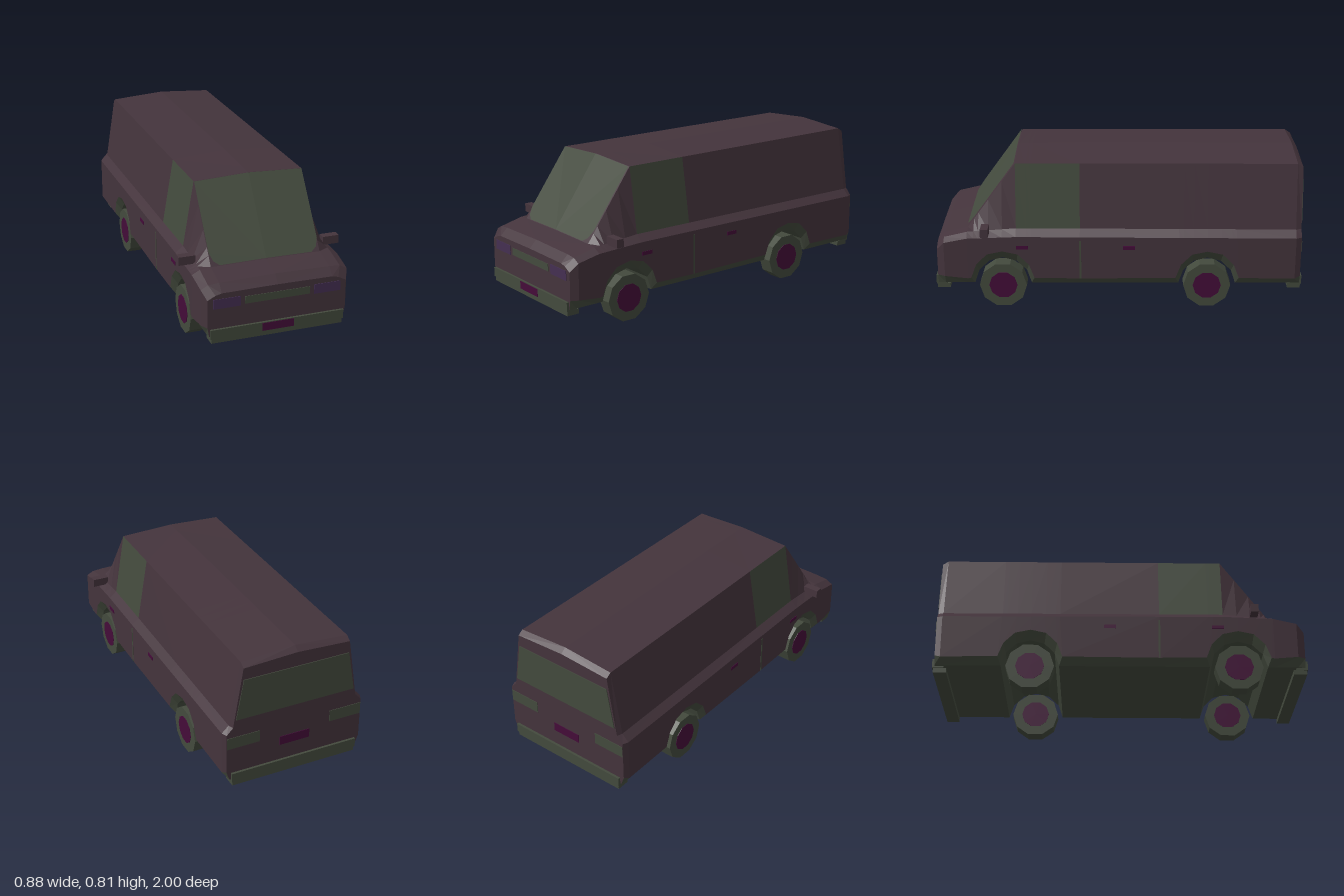
import * as THREE from 'three';

const mat = (name, color) => {
  const m = new THREE.MeshStandardMaterial({ color });
  m.name = name;
  return m;
};

// Piecewise linear lookup in [z, value] pairs
function at(table, z) {
  for (let i = 1; i < table.length; i++) {
    const [z0, v0] = table[i - 1], [z1, v1] = table[i];
    if (z <= z1) return v0 + (v1 - v0) * Math.max(0, (z - z0) / (z1 - z0));
  }
  return table[table.length - 1][1];
}

function flat(geo) {
  const g = geo.index ? geo.toNonIndexed() : geo;
  g.computeVertexNormals();
  return g;
}

function fromTriangles(points) {
  const g = new THREE.BufferGeometry();
  g.setAttribute('position', new THREE.Float32BufferAttribute(points.flat(), 3));
  g.computeVertexNormals();
  return g;
}

// Outlines of the body along its length
const EDGE_Y = [[-0.985, 0.775], [-0.96, 0.795], [0.555, 0.795], [0.82, 0.43], [0.945, 0.4], [0.985, 0.36]];
const CREST_Y = [[-0.985, 0.79], [-0.96, 0.815], [0.21, 0.815], [0.555, 0.808], [0.82, 0.433], [0.945, 0.405], [0.985, 0.363]];
const SHOULDER_Y = [[-0.985, 0.442], [0.555, 0.446], [0.82, 0.425], [0.945, 0.395], [0.985, 0.352]];
const SHOULDER_X = [[-0.985, 0.35], [-0.96, 0.36], [0.945, 0.355], [0.985, 0.33]];
const BELT_Y = [[-0.985, 0.405], [0.555, 0.412], [0.82, 0.402], [0.945, 0.375], [0.985, 0.33]];
const SIDE_X = [[-0.985, 0.385], [-0.955, 0.398], [0.92, 0.398], [0.945, 0.394], [0.985, 0.373]];
const FRONT_AXLE = 0.63, REAR_AXLE = -0.48;

// Stations: z, opening y, and the trim's own z and y
function stations() {
  const plain = z => ({ z, y: 0.13, tz: z, ty: z > 0.9 || z < -0.97 ? 0.18 : 0.168 });
  const arch = c => [
    [-0.155, 0.13, -0.172, 0.172], [-0.13, 0.205, -0.143, 0.25], [-0.075, 0.26, -0.083, 0.31], [0, 0.28, 0, 0.328],
    [0.075, 0.26, 0.083, 0.31], [0.13, 0.205, 0.143, 0.25], [0.155, 0.13, 0.172, 0.172],
  ].map(([dz, y, tz, ty]) => ({ z: c + dz, y, tz: c + tz, ty }));
  return [plain(-0.985), plain(-0.955), ...arch(REAR_AXLE), plain(0.21),
    ...arch(FRONT_AXLE), plain(0.82), plain(0.945), plain(0.985)];
}

// Half cross-section from bottom centre up to roof crest
function section({ z, y, tz, ty }) {
  const side = at(SIDE_X, z);
  return [
    [0, y, z], [Math.min(0.367, side - 0.01), y, z], [side, ty, tz], [side, at(BELT_Y, z), z],
    [at(SHOULDER_X, z), at(SHOULDER_Y, z), z], [0.297, at(EDGE_Y, z), z], [0, at(CREST_Y, z), z],
  ];
}

function bodyMeshes(paint, trim) {
  const paintTris = [], trimTris = [], glassTris = [];
  const tri = (list, a, b, c) => {
    list.push(a, b, c);
    const m = p => [-p[0], p[1], p[2]];
    list.push(m(a), m(c), m(b));
  };
  const st = stations(), rings = st.map(section);
  for (let i = 0; i < rings.length - 1; i++) {
    const sideWindow = st[i].z > 0.2 && st[i + 1].z < 0.56;
    for (let r = 0; r < 6; r++) {
      const list = r < 2 ? trimTris : r === 4 && sideWindow ? glassTris : paintTris;
      const a = rings[i][r], b = rings[i + 1][r], c = rings[i + 1][r + 1], d = rings[i][r + 1];
      tri(list, a, d, c);
      tri(list, a, c, b);
    }
  }
  // Closed nose and tail
  const tail = rings[0], nose = rings[rings.length - 1];
  for (let r = 1; r < 6; r++) {
    tri(paintTris, nose[0], nose[r], nose[r + 1]);
    tri(paintTris, tail[0], tail[r + 1], tail[r]);
  }
  return [['bodyShell', paintTris, paint], ['sillsAndUnderside', trimTris, trim], ['sideWindows', glassTris, trim]]
    .map(([name, tris, m]) => {
      const mesh = new THREE.Mesh(fromTriangles(tris), m);
      mesh.name = name;
      return mesh;
    });
}

// Windscreen with clipped lower corners, lying just above the sloping front
function windscreenGeometry() {
  const p = (x, t) => {
    const z = 0.82 - 0.265 * t, k = Math.abs(x) / 0.297;
    const y = at(CREST_Y, z) * (1 - k) + at(EDGE_Y, z) * k;
    return [x, y + 0.003, z + 0.005];
  };
  const outline = [[0.25, 0.005], [0.28, 0.06], [0.296, 0.16], [0.296, 0.995], [0, 0.995]];
  const tris = [], base = p(0, 0.005);
  for (let i = 0; i < outline.length - 1; i++) {
    const [x0, t0] = outline[i], [x1, t1] = outline[i + 1];
    tris.push(base, p(x0, t0), p(x1, t1), base, p(-x1, t1), p(-x0, t0));
  }
  return fromTriangles(tris);
}

export function createModel() {
  const van = new THREE.Group();
  van.name = 'van';
  const paint = mat('darkPlumPaint', 0x44343c);
  const trim = mat('smokedGreenTrim', 0x434a3d);
  const lamp = mat('violetLamp', 0x442f52);
  const accent = mat('magentaAccent', 0x440c39);

  const add = (name, geo, m, x = 0, y = 0, z = 0) => {
    const mesh = new THREE.Mesh(geo, m);
    mesh.name = name;
    mesh.position.set(x, y, z);
    van.add(mesh);
    return mesh;
  };
  const box = (name, m, w, h, d, x, y, z) => add(name, new THREE.BoxGeometry(w, h, d), m, x, y, z);

  van.add(...bodyMeshes(paint, trim));
  add('windscreen', windscreenGeometry(), trim);

  // Rear window
  const pane = new THREE.Shape([[-0.335, 0.485], [0.335, 0.485], [0.295, 0.71], [-0.295, 0.71]]
    .map(([x, y]) => new THREE.Vector2(x, y)));
  add('rearWindow', new THREE.ExtrudeGeometry(pane, { depth: 0.006, bevelEnabled: false }), trim, 0, 0, -0.989);

  // Front and rear bumpers, each with a lower lip
  for (const [end, s] of [['front', 1], ['rear', -1]]) {
    box(end + 'Bumper', trim, 0.72, 0.05, 0.06, 0, 0.145, s * 0.968);
    box(end + 'BumperLip', trim, 0.71, 0.026, 0.07, 0, 0.108, s * 0.958);
  }

  // Nose and tail details
  box('grille', trim, 0.35, 0.04, 0.006, 0, 0.305, 0.985);
  box('frontPlate', accent, 0.17, 0.042, 0.004, 0, 0.145, 0.998);
  box('rearPlate', accent, 0.17, 0.05, 0.006, 0, 0.285, -0.985);

  for (const s of [1, -1]) {
    box('headlight', lamp, 0.145, 0.052, 0.006, s * 0.27, 0.305, 0.985);
    box('tailLight', trim, 0.182, 0.065, 0.006, s * 0.292, 0.352, -0.985);
    box('mirror', paint, 0.09, 0.045, 0.042, s * 0.395, 0.447, 0.72);
    box('doorSeam', trim, 0.004, 0.22, 0.01, s * 0.398, 0.28, 0.208);
    for (const z of [0.522, -0.055]) box('doorHandle', accent, 0.006, 0.02, 0.064, s * 0.398, 0.35, z);

    // Ten-sided wheels with hubs
    for (const z of [FRONT_AXLE, REAR_AXLE]) {
      const tire = flat(new THREE.CylinderGeometry(0.129, 0.129, 0.083, 10).rotateZ(Math.PI / 2));
      const hub = flat(new THREE.CylinderGeometry(0.077, 0.077, 0.088, 10).rotateZ(Math.PI / 2));
      add('tire', tire, trim, s * 0.343, 0.123, z);
      add('hub', hub, accent, s * 0.343, 0.123, z);
    }
  }
  return van;
}
